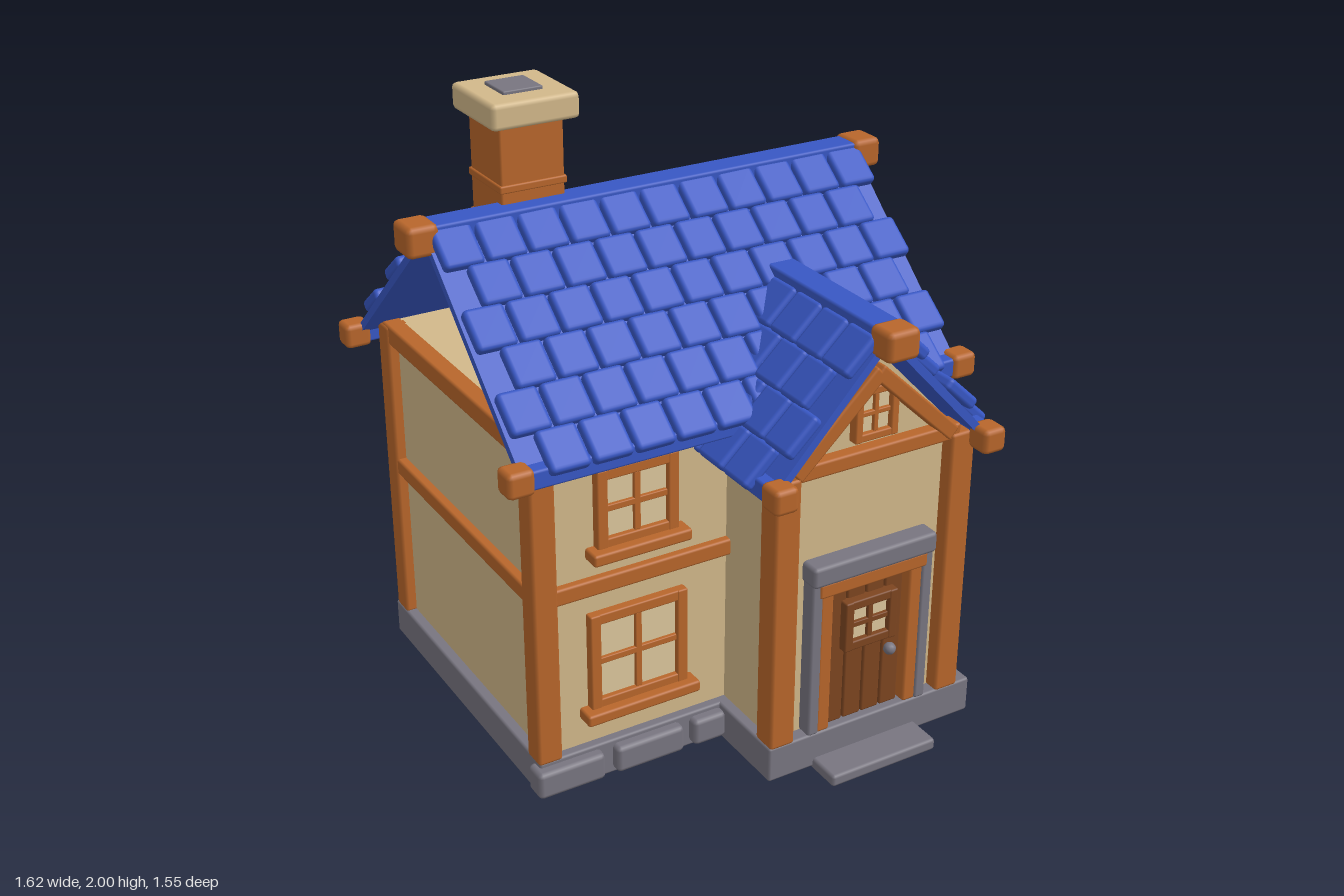
import * as THREE from 'three';
import { RoundedBoxGeometry } from 'three/addons/geometries/RoundedBoxGeometry.js';

const mat = (name, color) => {
  const m = new THREE.MeshStandardMaterial({ color });
  m.name = name;
  return m;
};

export function createModel() {
  const blue = mat('roof blue', 0x3857c4);
  const wood = mat('timber', 0xb8662b);
  const tan = mat('plaster', 0xd2b88a);
  const grey = mat('stone', 0x787580);
  const dark = mat('door wood', 0x7d4520);
  const pane = mat('window pane', 0xdcc79c);

  const root = new THREE.Group();
  root.name = 'cottage';

  const mesh = (parent, name, geo, m, x = 0, y = 0, z = 0) => {
    const o = new THREE.Mesh(geo, m);
    o.name = name;
    o.position.set(x, y, z);
    parent.add(o);
    return o;
  };
  // Softly bevelled block given by its extents
  const block = (parent, name, m, x0, x1, y0, y1, z0, z1, r = 0.008) =>
    mesh(parent, name, new RoundedBoxGeometry(x1 - x0, y1 - y0, z1 - z0, 1, r), m,
      (x0 + x1) / 2, (y0 + y1) / 2, (z0 + z1) / 2);
  const group = (name, x, y, z, ry = 0) => {
    const g = new THREE.Group();
    g.name = name;
    g.position.set(x, y, z);
    g.rotation.y = ry;
    root.add(g);
    return g;
  };

  // Stone base, loose front stones and door step
  block(root, 'mainFoundation', grey, -0.69, 0.69, 0.01, 0.13, -0.69, 0.385);
  block(root, 'porchFoundation', grey, -0.065, 0.69, 0.01, 0.13, 0.3, 0.67);
  [[-0.71, -0.485], [-0.445, -0.21], [-0.175, -0.06]].forEach(([a, b]) =>
    block(root, 'foundationStone', grey, a, b, 0.025, 0.115, 0.34, 0.42, 0.015));
  block(root, 'doorStep', grey, 0.095, 0.48, 0, 0.04, 0.6, 0.78, 0.01);

  // Plaster walls; the porch has a pointed gable
  mesh(root, 'mainWalls', new THREE.BoxGeometry(1.31, 1.06, 1.01), tan, 0, 0.64, -0.15);
  const gable = new THREE.Shape([[-0.03, 0.1], [0.61, 0.1], [0.61, 1.02], [0.285, 1.36], [-0.03, 1.02]]
    .map(([x, y]) => new THREE.Vector2(x, y)));
  mesh(root, 'porchWalls', new THREE.ExtrudeGeometry(gable, { depth: 0.33, bevelEnabled: false }), tan, 0, 0, 0.295);

  // Timber posts: x, z, top, size
  [[-0.655, 0.35, 1.15, 0.08], [-0.65, -0.64, 1.17, 0.08], [0.65, -0.64, 1.17, 0.08],
    [0.65, 0.35, 1.12, 0.08], [0.655, 0.015, 1.12, 0.065],
    [-0.02, 0.63, 1.03, 0.085], [0.597, 0.63, 1.03, 0.085]].forEach(([x, z, top, s]) =>
    block(root, 'post', wood, x - s / 2, x + s / 2, 0.125, top, z - s / 2, z + s / 2, 0.01));

  // Timber beams
  for (const s of [-1, 1]) {
    const a = s * 0.655;
    block(root, 'sideMidBeam', wood, a - 0.03, a + 0.03, 0.65, 0.705, -0.64, 0.35);
    block(root, 'sideTopBeam', wood, a - 0.03, a + 0.03, 1.11, 1.175, -0.66, 0.385);
  }
  block(root, 'frontMidBeam', wood, -0.655, -0.02, 0.65, 0.705, 0.32, 0.38);
  block(root, 'porchTopBeam', wood, -0.02, 0.59, 1.01, 1.06, 0.6, 0.665);
  for (const s of [-1, 1]) {
    const b = mesh(root, 'gableRafter', new RoundedBoxGeometry(0.39, 0.05, 0.05, 1, 0.008), wood,
      0.285 + s * 0.137, 1.165, 0.645);
    b.rotation.z = -s * 0.755;
  }

  // Window with frame, cross bars and optional sill, facing local +z
  const makeWindow = (name, w, h, x, y, z, ry = 0, m = wood, t = 0.035, sill = true) => {
    const g = group(name, x, y, z, ry);
    const W = w / 2, H = h / 2;
    mesh(g, 'pane', new THREE.BoxGeometry(w - t, h - t, 0.008), pane, 0, 0, 0.006);
    for (const s of [-1, 1]) {
      const cx = s * (W - t / 2), cy = s * (H - t / 2);
      block(g, 'frameSide', m, cx - t / 2, cx + t / 2, -H, H, -0.01, 0.03, 0.005);
      block(g, 'frameRail', m, -W, W, cy - t / 2, cy + t / 2, -0.01, 0.028, 0.005);
    }
    const b = t * 0.3;
    block(g, 'crossBarUpright', m, -b, b, -H + t, H - t, 0, 0.022, 0.003);
    block(g, 'crossBarLevel', m, -W + t, W - t, -b, b, 0, 0.022, 0.003);
    if (sill) block(g, 'sill', m, -W - 0.028, W + 0.028, -H - 0.03, -H + 0.008, -0.01, 0.06);
  };
  makeWindow('upperFrontWindow', 0.27, 0.26, -0.345, 0.925, 0.355);
  makeWindow('lowerFrontWindow', 0.33, 0.33, -0.345, 0.418, 0.355);
  makeWindow('upperSideWindow', 0.32, 0.3, 0.655, 0.925, -0.33, Math.PI / 2);
  makeWindow('lowerSideWindow', 0.32, 0.32, 0.655, 0.415, -0.33, Math.PI / 2);
  makeWindow('gableWindow', 0.15, 0.17, 0.288, 1.165, 0.627, 0, wood, 0.025, false);

  // Door with planks, timber frame, stone surround, small window and knob
  for (let i = 0; i < 4; i++) {
    const x = 0.15 + i * 0.069;
    block(root, 'doorPlank', dark, x, x + 0.064, 0.13, 0.615, 0.615, 0.645, 0.006);
  }
  for (const s of [-1, 1]) {
    const x = 0.29 + s * 0.162, k = 0.29 + s * 0.2;
    block(root, 'doorJamb', wood, x - 0.023, x + 0.023, 0.13, 0.62, 0.61, 0.67);
    block(root, 'stoneJamb', grey, k - 0.019, k + 0.019, 0.13, 0.67, 0.61, 0.675);
  }
  block(root, 'doorLintel', wood, 0.095, 0.485, 0.61, 0.66, 0.61, 0.68);
  block(root, 'stoneLintel', grey, 0.065, 0.51, 0.657, 0.725, 0.61, 0.69, 0.012);
  makeWindow('doorWindow', 0.19, 0.17, 0.29, 0.475, 0.645, 0, dark, 0.03, false);
  mesh(root, 'doorKnob', new THREE.SphereGeometry(0.02, 12, 8), grey, 0.37, 0.345, 0.665);

  // Gabled roof built along local x: boards, overlapping tiles, ridge, eaves and end caps
  const makeRoof = (name, x, y, z, ry, o) => {
    const g = group(name, x, y, z, ry);
    const { width, run, drop, rows, pitch, cols, end, capSize } = o;
    const angle = Math.atan2(drop, run), len = Math.hypot(run, drop);
    const step = width / cols;
    const tile = new RoundedBoxGeometry(step * 0.93, 0.04, pitch * 1.03, 2, 0.014);
    for (const side of [0, 1]) {
      const slope = new THREE.Group();
      slope.name = 'roofSlope';
      slope.rotation.order = 'YXZ';
      slope.rotation.set(angle, side * Math.PI, 0);
      g.add(slope);
      mesh(slope, 'roofBoard', new THREE.BoxGeometry(width, 0.025, len), blue, 0, 0, len / 2);
      for (let r = 0; r < rows; r++) {
        const n = cols - (r % 2 ? 0 : 1);
        for (let c = 0; c < n; c++) {
          const t = mesh(slope, 'roofTile', tile, blue, (c - (n - 1) / 2) * step, 0.036, end - pitch * (r + 0.5));
          t.rotation.set(-0.07, 0, ((c * 7 + r * 5) % 5 - 2) * 0.008);
        }
      }
      const s = side ? -1 : 1;
      block(g, 'eaveBeam', blue, -width / 2, width / 2, -drop - 0.03, -drop + 0.03, s * run - 0.03, s * run + 0.03);
      for (const e of [-1, 1])
        mesh(g, 'eaveCap', new RoundedBoxGeometry(0.085, 0.08, 0.08, 1, 0.016), wood,
          e * (width / 2 + 0.012), -drop, s * run);
    }
    block(g, 'ridgeBeam', blue, -width / 2, width / 2, -0.05, 0.04, -0.047, 0.047);
    for (const e of [-1, 1])
      mesh(g, 'ridgeCap', new RoundedBoxGeometry(0.1, 0.095, capSize, 1, 0.018), wood, e * (width / 2 + 0.02), 0, 0);
  };
  makeRoof('mainRoof', 0, 1.64, -0.145, 0,
    { width: 1.48, run: 0.575, drop: 0.515, rows: 6, pitch: 0.131, cols: 11, end: 0.795, capSize: 0.115 });
  makeRoof('porchRoof', 0.285, 1.415, 0.305, Math.PI / 2,
    { width: 0.79, run: 0.365, drop: 0.395, rows: 4, pitch: 0.138, cols: 6, end: 0.575, capSize: 0.11 });

  // Chimney with bands, capstone and flue
  block(root, 'chimneyStack', wood, -0.485, -0.28, 1.37, 1.93, -0.36, -0.155, 0.006);
  for (const y of [1.6, 1.725])
    block(root, 'chimneyBand', wood, -0.491, -0.274, y - 0.012, y + 0.012, -0.366, -0.149, 0.005);
  block(root, 'chimneyCap', tan, -0.52, -0.24, 1.91, 1.99, -0.4, -0.12, 0.015);
  block(root, 'chimneyFlue', grey, -0.447, -0.32, 1.95, 2, -0.325, -0.198, 0.004);

  return root;
}
